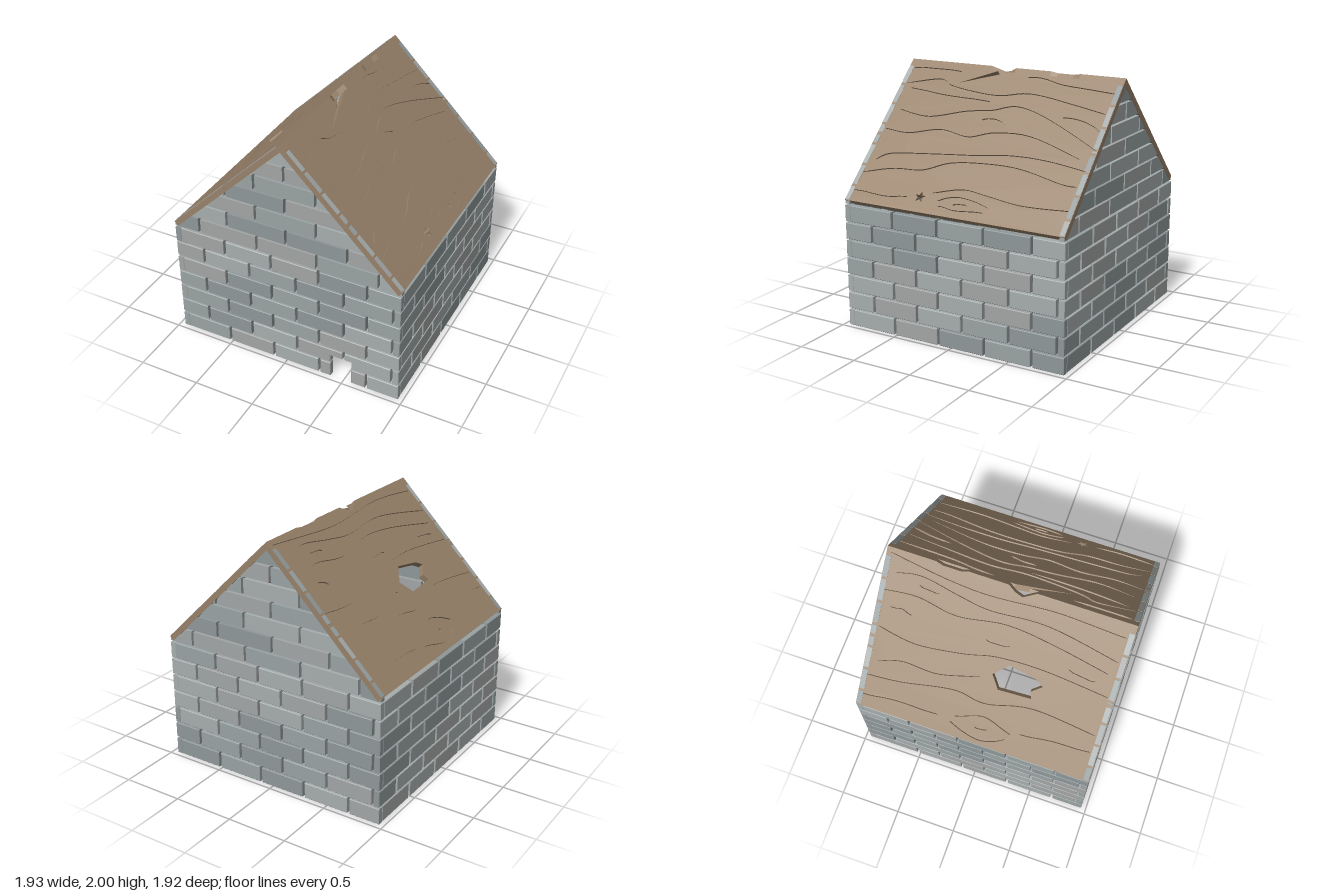
import * as THREE from 'three';

const HALF = 0.96, THICK = 0.05, PITCH = 0.403, BRICK = 0.382;
const ROOF_T = 0.045, SLOPE = Math.SQRT2;
const stones = [0x9aa3a4, 0xa3a6a6, 0x8f9899, 0xa7aeae].map(
  (color) => new THREE.MeshStandardMaterial({ color, flatShading: true }));
const wood = new THREE.MeshStandardMaterial({ color: 0x98826a, flatShading: true });
const mouseHole = { x0: 0.385, x1: 0.565, top: 0.21 };

const toShape = (pts) => new THREE.Shape(pts.map(([x, y]) => new THREE.Vector2(x, y)));
const rect = (a, b, y0, y1) => [[a, y0], [b, y0], [b, y1], [a, y1]];

// One stone, from a front outline, reaching back from z = front
function addBrick(group, pts, front, depth, bevel, seed) {
  const geo = new THREE.ExtrudeGeometry(toShape(pts), {
    depth: depth - 2 * bevel, bevelEnabled: bevel > 0, bevelSegments: 1,
    bevelSize: bevel, bevelOffset: -bevel, bevelThickness: bevel,
  });
  geo.translate(0, 0, front - depth + bevel);
  const mesh = new THREE.Mesh(geo, stones[(seed * 7 + (seed >> 2) * 5) % stones.length]);
  mesh.name = 'brick';
  group.add(mesh);
}

// Brick outlines left after the small doorway is cut out
function cutDoorway(a, b, y0, y1) {
  const { x0, x1, top } = mouseHole;
  if (b < x0 || a > x1 || y0 > top) return [rect(a, b, y0, y1)];
  if (y1 < top) {
    return [[a, x0], [x1, b]].filter(([l, r]) => r - l > 0.02).map(([l, r]) => rect(l, r, y0, y1));
  }
  return a < x0
    ? [[[a, y0], [x0, y0], [x0, top], [b, top], [b, y1], [a, y1]]]
    : [[[a, top], [x1, top], [x1, y0], [b, y0], [b, y1], [a, y1]]];
}

// Seven courses; alternate courses interlock with the next wall at the corners
function createWall(name, side) {
  const wall = new THREE.Group();
  wall.name = name;
  for (let row = 0; row < 7; row++) {
    const odd = row % 2, y0 = row * 0.1435, y1 = y0 + 0.13;
    const start = odd ? -HALF : -HALF + THICK, end = odd ? 0.9 : HALF;
    for (let i = 0; i < 6; i++) {
      const x = (odd ? -1.103 : -0.91) + i * PITCH;
      const a = Math.max(x, start), b = Math.min(x + BRICK, end);
      if (b - a < 0.03) continue;
      const outlines = side === 0 ? cutDoorway(a, b, y0, y1) : [rect(a, b, y0, y1)];
      outlines.forEach((o) => addBrick(wall, o, HALF, THICK, 0.004, row * 5 + i * 3 + side));
    }
  }
  wall.rotation.y = side * Math.PI / 2;
  return wall;
}

// Keep the part of a convex outline under the line s * x + y = limit
function clip(pts, s, limit) {
  const out = [];
  pts.forEach((p, i) => {
    const q = pts[(i + 1) % pts.length];
    const dp = limit - s * p[0] - p[1], dq = limit - s * q[0] - q[1];
    if (dp >= 0) out.push(p);
    if (dp * dq < 0) {
      const t = dp / (dp - dq);
      out.push([p[0] + t * (q[0] - p[0]), p[1] + t * (q[1] - p[1])]);
    }
  });
  return out;
}

// Triangular top of the end walls
function createGable(name, turn) {
  const gable = new THREE.Group();
  gable.name = name;
  for (let row = 0; row < 7; row++) {
    const y0 = 1.003 + row * 0.1375, y1 = Math.min(y0 + 0.122, 1.955);
    for (let i = -3; i < 3; i++) {
      const x = 0.02 + (i + (row % 2 ? 0 : 0.5)) * 0.505;
      const a = Math.max(x + 0.01, -HALF), b = Math.min(x + 0.495, HALF);
      if (b - a < 0.02) continue;
      const o = clip(clip(rect(a, b, y0, y1), 1, 2.003), -1, 2.003);
      if (o.length > 2) addBrick(gable, o, 0.952, 0.04, 0, row * 3 + i + 5 + turn);
    }
  }
  gable.rotation.y = turn * Math.PI;
  return gable;
}

// Roof points are [distance along the ridge, drop below the ridge]
const onSlope = ([x, d]) => [x, -d * SLOPE];

// Tapered outline of one carved grain line
function grooveOutline(points) {
  const curve = new THREE.SplineCurve(points.map((p) => new THREE.Vector2(...onSlope(p))));
  const n = 6 + points.length * 4, upper = [], lower = [];
  for (let i = 0; i <= n; i++) {
    const u = i / n, p = curve.getPoint(u), t = curve.getTangent(u);
    const w = 0.013 * Math.min(1, 0.15 + 4 * Math.min(u, 1 - u));
    upper.push([p.x - t.y * w, p.y + t.x * w]);
    lower.unshift([p.x + t.y * w, p.y - t.x * w]);
  }
  return [...upper, ...lower];
}

// A board with a carved top layer over a plain one; holes pass through both
function createRoofBoard(name, side, outline, holes, grain) {
  const board = new THREE.Group();
  board.name = name;
  const layer = (part, cuts, z, depth) => {
    const shape = toShape(outline.map(onSlope));
    shape.holes = cuts.map(toShape);
    const geo = new THREE.ExtrudeGeometry(shape, { depth, bevelEnabled: false });
    geo.translate(0, 0, z);
    const mesh = new THREE.Mesh(geo, wood);
    mesh.name = part;
    board.add(mesh);
  };
  const through = holes.map((h) => h.map(onSlope));
  layer('carvedTop', [...through, ...grain.map(grooveOutline)], -0.013, 0.013);
  layer('boardBase', through, -ROOF_T, ROOF_T - 0.013);
  const k = Math.SQRT1_2;
  const basis = new THREE.Matrix4().makeBasis(
    new THREE.Vector3(0, 0, -side), new THREE.Vector3(-side * k, k, 0), new THREE.Vector3(side * k, k, 0));
  board.quaternion.setFromRotationMatrix(basis);
  board.position.y = 2;
  return board;
}

const plusXGrain = [
  [[-.915, .78], [-.67, .735], [-.4, .72], [-.19, .655], [.07, .63], [.39, .63], [.76, .68], [.9, .68]],
  [[-.85, .69], [-.75, .645], [-.46, .62], [-.19, .6], [.02, .585], [.28, .56], [.6, .56], [.92, .585]],
  [[-.9, .485], [-.67, .5], [-.4, .455], [-.14, .48], [.07, .435], [.39, .43], [.84, .52]],
  [[-.85, .35], [-.56, .38], [-.25, .32], [-.03, .295], [.18, .255], [.5, .32], [.93, .455]],
  [[-.9, .17], [-.62, .125], [-.5, .16], [-.3, .185], [-.03, .197], [.23, .165], [.6, .2], [.9, .235]],
  [[-.84, .2], [-.59, .225], [-.35, .235], [-.08, .235]],
  [[.58, .285], [.75, .3], [.91, .345]],
  [[-.08, .355], [.03, .35], [.13, .375]],
  [[-.92, .895], [-.62, .91], [-.42, .885]],
  [[-.22, .84], [.02, .8], [.23, .815], [.55, .84], [.92, .82]],
  [[-.15, .88], [.02, .848], [.28, .875]],
  [[-.13, .91], [.02, .928], [.26, .908]],
  [[-.01, .89], [.11, .885]],
  [[.15, .052], [.3, .06], [.5, .09], [.92, .105]],
  [[-.9, .06], [-.7, .06], [-.45, .058]],
];
const minusXGrain = [
  [[-.92, .89], [-.65, .86], [-.3, .865]],
  [[-.2, .88], [.05, .93], [.25, .88]],
  [[-.17, .84], [.05, .78], [.28, .84]],
  [[0, .865], [.1, .855]],
  [[.35, .82], [.6, .79], [.9, .785]],
  [[-.92, .765], [-.65, .74], [-.23, .68], [.03, .7], [.39, .64], [.9, .68]],
  [[-.85, .665], [-.67, .615], [-.39, .62], [-.13, .57], [-.06, .56]],
  [[-.9, .46], [-.6, .49], [-.23, .455], [.03, .41], [.39, .4], [.9, .44]],
  [[-.84, .33], [-.75, .315], [-.67, .34]],
  [[-.08, .34], [.1, .335]],
  [[-.92, .245], [-.65, .22], [-.34, .255], [.03, .215], [.39, .24], [.85, .31]],
  [[-.85, .13], [-.65, .1], [-.35, .14], [-.1, .165], [.34, .15], [.9, .23]],
  [[-.66, .158], [-.5, .168]],
  [[.57, .355], [.78, .375]],
  [[-.92, .03], [-.23, .085], [.39, .06], [.9, .085]],
];

export function createModel() {
  const model = new THREE.Group();
  model.name = 'brickHouse';
  ['frontWall', 'leftWall', 'backWall', 'rightWall'].forEach((n, i) => model.add(createWall(n, i)));
  model.add(createGable('frontGable', 0), createGable('backGable', 1));

  // Left roof butts under the right one and has a split and a star cut-out
  const E = 0.955, eave = 0.965, butt = ROOF_T / SLOPE;
  const star = Array.from({ length: 10 }, (_, i) => {
    const a = i * Math.PI / 5, r = i % 2 ? 0.02 : 0.048;
    return [-0.31 + r * Math.sin(a), 0.875 - r * Math.cos(a) / SLOPE];
  });
  model.add(createRoofBoard('leftRoof', 1,
    [[-E, eave], [E, eave], [E, butt], [-.02, butt], [-.43, .135], [-.13, butt], [-E, butt]],
    [star], plusXGrain));

  // Right roof has a broken ridge and a ragged hole
  model.add(createRoofBoard('rightRoof', -1,
    [[-E, eave], [E, eave], [E, 0], [.2, 0], [.15, .022], [.1, .045], [.04, .03], [-.02, 0],
      [-.33, 0], [-.38, .012], [-.52, .012], [-.58, 0], [-E, 0]],
    [[[.03, .52], [.1, .6], [.36, .59], [.34, .55], [.42, .5], [.36, .47], [.14, .44]]], minusXGrain));
  return model;
}
